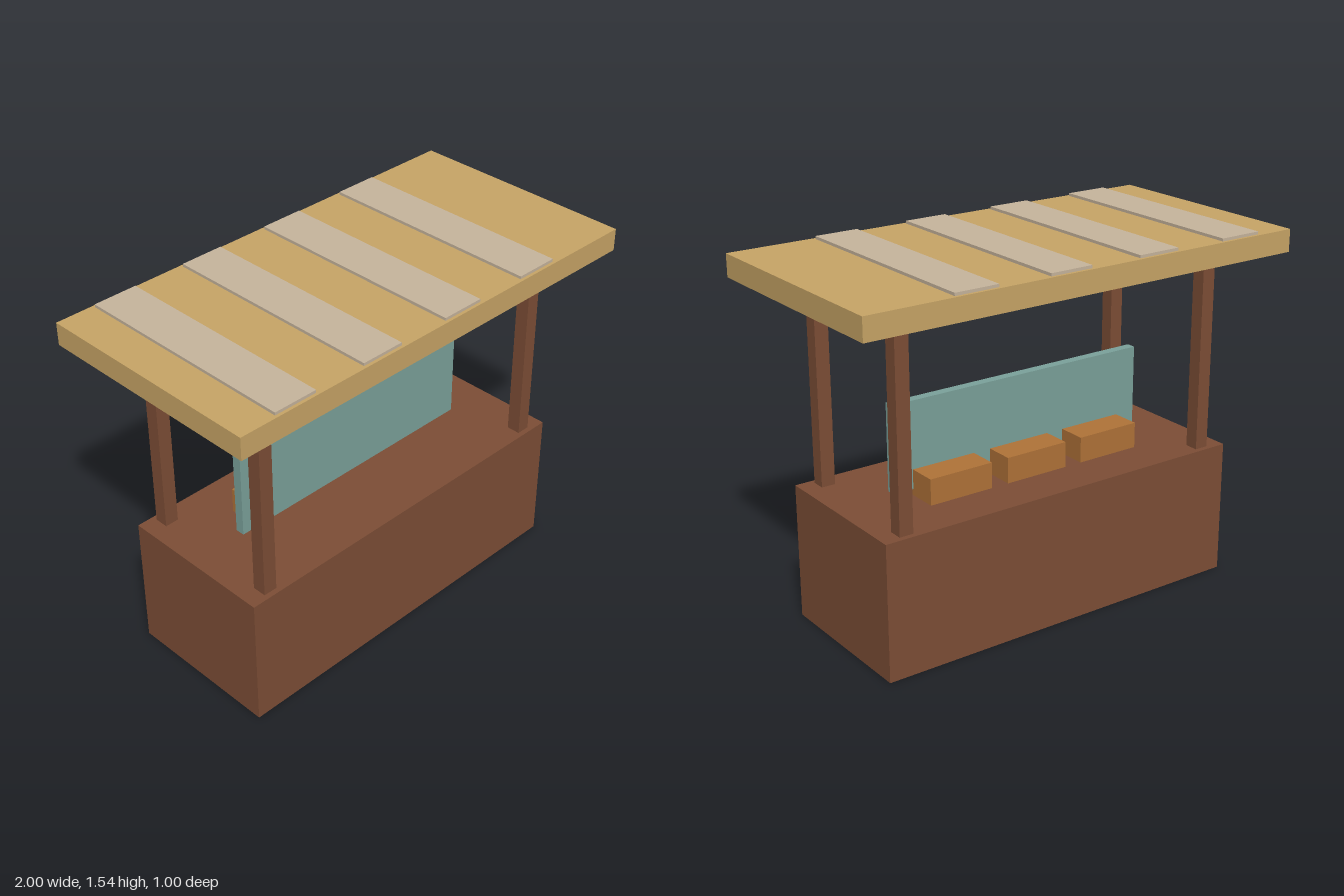
import * as THREE from 'three';

export function createModel() {
  const stall = new THREE.Group();
  stall.name = 'marketStall';

  const material = (name, color) => {
    const m = new THREE.MeshStandardMaterial({ color });
    m.name = name;
    return m;
  };
  const darkWood = material('dark brown wood', 0x7d4e36);
  const roofTan = material('tan roof', 0xc8a566);
  const stripeBeige = material('beige stripe', 0xc7b59d);
  const panelTeal = material('teal panel', 0x7ba29b);
  const crateOrange = material('orange brown wood', 0xb07338);

  // Box given by its base height and its size
  const box = (name, mat, [w, h, d], x, y, z) => {
    const mesh = new THREE.Mesh(new THREE.BoxGeometry(w, h, d), mat);
    mesh.name = name;
    mesh.position.set(x, y + h / 2, z);
    stall.add(mesh);
  };

  // Counter
  box('counter', darkWood, [1.684, 0.58, 0.684], 0, 0, 0);

  // Four corner posts
  for (const x of [-0.737, 0.737])
    for (const z of [-0.289, 0.289])
      box('post', darkWood, [0.06, 0.85, 0.06], x, 0.58, z);

  // Roof slab with raised stripes
  box('roof', roofTan, [2, 0.095, 1], 0, 1.43, 0);
  for (let i = 0; i < 4; i++)
    box('roofStripe', stripeBeige, [0.19, 0.012, 0.974], -0.739 + i * 0.421, 1.525, 0);

  // Upright panel across the counter
  box('panel', panelTeal, [1.21, 0.37, 0.04], 0, 0.606, 0);

  // Crates behind the panel
  for (const x of [-0.369, 0, 0.369])
    box('crate', crateOrange, [0.29, 0.11, 0.132], x, 0.58, -0.079);

  return stall;
}
